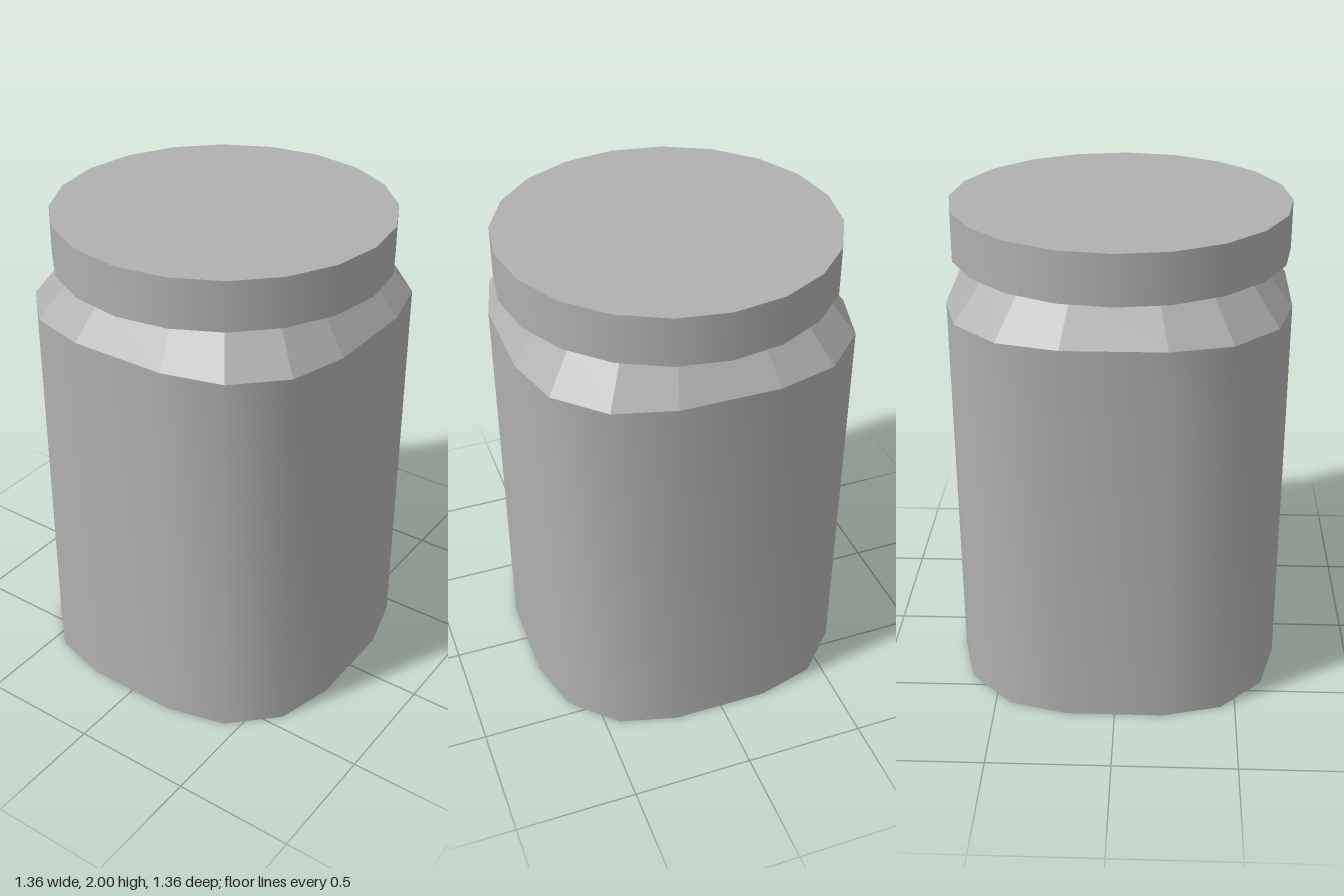
import * as THREE from 'three';
import { toCreasedNormals } from 'three/addons/utils/BufferGeometryUtils.js';

const HALF = 0.68, FLAT = 0.2, BODY_TOP = 1.63, LID_BASE = 1.8, LID_TOP = 2;

// Square outline with wide corners, each rounded in three segments
function roundedSquare() {
  const radius = HALF - FLAT, points = [];
  for (let corner = 0; corner < 4; corner++) {
    const mid = (corner + 0.5) * Math.PI / 2;
    const cx = Math.sign(Math.cos(mid)) * FLAT, cy = Math.sign(Math.sin(mid)) * FLAT;
    for (let i = 0; i <= 3; i++) {
      const a = corner * Math.PI / 2 + i * Math.PI / 6;
      points.push(new THREE.Vector2(cx + radius * Math.cos(a), cy + radius * Math.sin(a)));
    }
  }
  return new THREE.Shape(points);
}

// Upright prism of the outline, its top shrunk by a factor
function prism(y0, y1, topScale) {
  const height = y1 - y0;
  const geometry = new THREE.ExtrudeGeometry(roundedSquare(), { depth: height, bevelEnabled: false });
  geometry.rotateX(-Math.PI / 2);
  const p = geometry.attributes.position;
  for (let i = 0; i < p.count; i++) {
    if (p.getY(i) > height / 2) {
      p.setX(i, p.getX(i) * topScale);
      p.setZ(i, p.getZ(i) * topScale);
    }
  }
  geometry.computeVertexNormals();
  return geometry.translate(0, y0, 0);
}

export function createModel() {
  const group = new THREE.Group();
  group.name = 'jar';
  const grey = new THREE.MeshStandardMaterial({ color: 0xb0b0b0 });
  grey.name = 'grey';

  const add = (name, geometry) => {
    const mesh = new THREE.Mesh(geometry, grey);
    mesh.name = name;
    group.add(mesh);
  };

  // Smooth-sided body, faceted shoulder, round lid
  add('body', toCreasedNormals(prism(0, BODY_TOP, 1), Math.PI / 4));
  add('shoulder', prism(BODY_TOP, LID_BASE, 0.81));
  const lid = new THREE.CylinderGeometry(HALF, HALF, LID_TOP - LID_BASE, 20);
  add('lid', lid.translate(0, (LID_BASE + LID_TOP) / 2, 0));

  return group;
}
